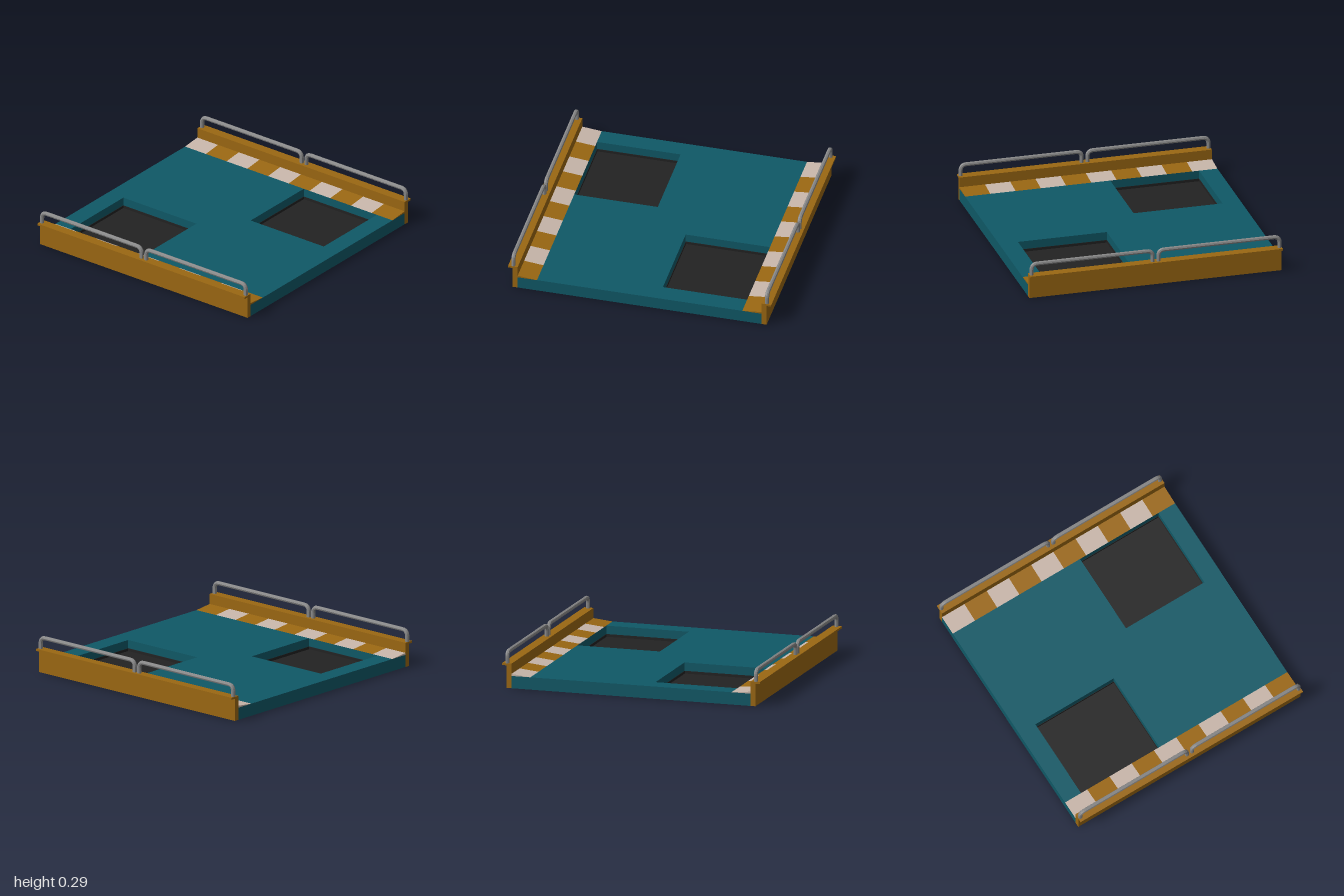
import * as THREE from 'three';

const HALF = 0.965;   // half length along z
const DECK_TOP = 0.093;

const mat = (color) => new THREE.MeshStandardMaterial({ color });
const teal = mat(0x0f5866), gold = mat(0x9a6712), pale = mat(0xc8b6aa), dark = mat(0x222222);
const steel = new THREE.MeshStandardMaterial({ color: 0x888888, flatShading: true });

function add(parent, name, geometry, material) {
  const mesh = new THREE.Mesh(geometry, material);
  mesh.name = name;
  parent.add(mesh);
  return mesh;
}

// Box given by its minimum and maximum corners
function box(parent, name, material, [x0, y0, z0], [x1, y1, z1]) {
  const mesh = add(parent, name, new THREE.BoxGeometry(x1 - x0, y1 - y0, z1 - z0), material);
  mesh.position.set((x0 + x1) / 2, (y0 + y1) / 2, (z0 + z1) / 2);
  return mesh;
}

function rectangle(PathType, x0, z0, x1, z1) {
  return new PathType([[x0, z0], [x1, z0], [x1, z1], [x0, z1]].map(([x, z]) => new THREE.Vector2(x, z)));
}

// Bent handrail running from z0 to z1
function railGeometry(x, z0, z1) {
  const foot = 0.18, top = 0.27, bend = 0.045;
  const p = (y, z) => new THREE.Vector3(x, y, z);
  const path = new THREE.CurvePath();
  path.add(new THREE.LineCurve3(p(foot, z0), p(top - bend, z0)));
  path.add(new THREE.QuadraticBezierCurve3(p(top - bend, z0), p(top, z0), p(top, z0 + bend)));
  path.add(new THREE.LineCurve3(p(top, z0 + bend), p(top, z1 - bend)));
  path.add(new THREE.QuadraticBezierCurve3(p(top, z1 - bend), p(top, z1), p(top - bend, z1)));
  path.add(new THREE.LineCurve3(p(top - bend, z1), p(foot, z1)));
  return new THREE.TubeGeometry(path, 90, 0.016, 8, false);
}

export function createModel() {
  const model = new THREE.Group();
  model.name = 'bridgeDeck';

  // Deck plate with two rectangular pits over a thin base
  const pits = [[-0.78, -0.825, -0.145, -0.145], [0.14, 0.14, 0.78, 0.82]];
  const outline = rectangle(THREE.Shape, -0.927, -HALF, 0.927, HALF);
  pits.forEach((pit) => outline.holes.push(rectangle(THREE.Path, ...pit)));
  const base = 0.006;
  const deck = new THREE.ExtrudeGeometry(outline, { depth: DECK_TOP - base, bevelEnabled: false });
  deck.rotateX(Math.PI / 2).translate(0, DECK_TOP, 0);
  add(model, 'deck', deck, teal);
  box(model, 'deckBase', teal, [-0.927, 0, -HALF], [0.927, base, HALF]);

  // Dark tray in the bottom of each pit
  pits.forEach(([x0, z0, x1, z1]) => {
    const tray = new THREE.Group();
    tray.name = 'pitTray';
    model.add(tray);
    const t = 0.003, rim = 0.03;
    box(tray, 'pitFloor', dark, [x0, base, z0], [x1, base + 0.004, z1]);
    box(tray, 'pitSide', dark, [x0, base, z0], [x0 + t, rim, z1]);
    box(tray, 'pitSide', dark, [x1 - t, base, z0], [x1, rim, z1]);
    box(tray, 'pitEnd', dark, [x0, base, z0], [x1, rim, z0 + t]);
    box(tray, 'pitEnd', dark, [x0, base, z1 - t], [x1, rim, z1]);
  });

  for (const side of [-1, 1]) {
    const edge = new THREE.Group();
    edge.name = side > 0 ? 'leftEdge' : 'rightEdge';
    model.add(edge);

    // Side wall with an overhanging cap
    const wall = box(edge, 'sideWall', gold, [0.927, 0, -HALF], [0.965, 0.17, HALF]);
    const cap = box(edge, 'wallCap', gold, [0.927, 0.17, -HALF], [1, 0.185, HALF]);
    wall.position.x *= side;
    cap.position.x *= side;

    // Sloping kerb in alternating stripes
    const wedge = new THREE.Shape([[0.78, DECK_TOP], [0.927, DECK_TOP], [0.927, 0.108]]
      .map(([x, y]) => new THREE.Vector2(side * x, y)));
    const step = 2 * HALF / 10;
    for (let i = 0; i < 10; i++) {
      const stripe = new THREE.ExtrudeGeometry(wedge, { depth: step, bevelEnabled: false });
      add(edge, 'kerbStripe', stripe, i % 2 ? gold : pale).position.z = -HALF + i * step;
    }

    // Two handrails end to end
    add(edge, 'backHandrail', railGeometry(side * 0.964, -0.948, -0.022), steel);
    add(edge, 'frontHandrail', railGeometry(side * 0.964, 0.022, 0.948), steel);
  }
  return model;
}
